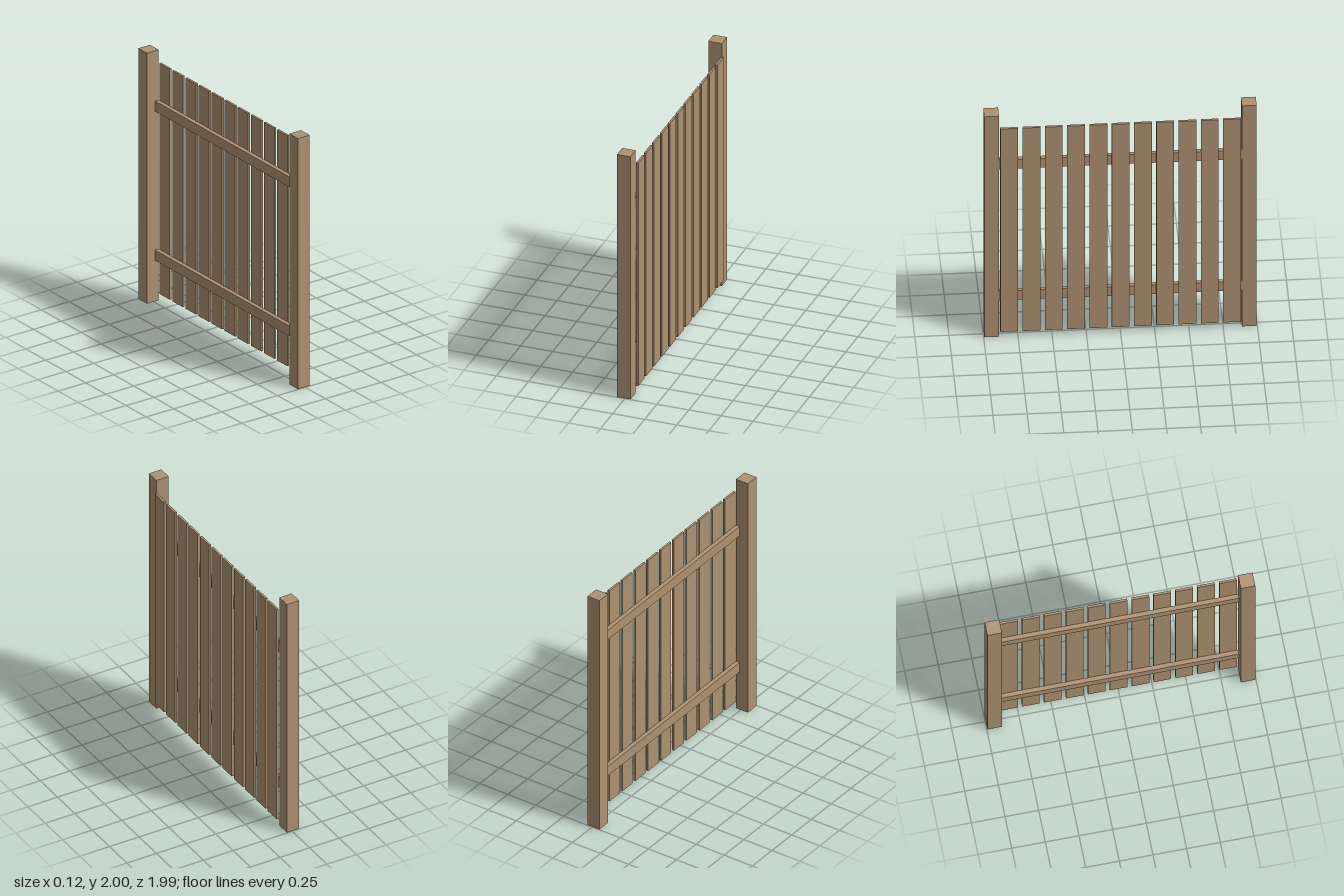
import * as THREE from 'three';

export function createModel() {
  const model = new THREE.Group();
  const wood = new THREE.MeshStandardMaterial({ color: 0xae9272 });
  wood.name = 'wood';

  // Box given by its min and max on each axis
  const box = (name, [x0, x1], [y0, y1], [z0, z1]) => {
    const mesh = new THREE.Mesh(new THREE.BoxGeometry(x1 - x0, y1 - y0, z1 - z0), wood);
    mesh.position.set((x0 + x1) / 2, (y0 + y1) / 2, (z0 + z1) / 2);
    mesh.name = name;
    model.add(mesh);
  };

  const postBack = -0.062, postFace = 0.043, plankFace = 0.06;
  const postInner = 0.887, postOuter = 0.995;

  // End posts
  box('frontPost', [postBack, postFace], [0, 2], [postInner, postOuter]);
  box('backPost', [postBack, postFace], [0, 2], [-postOuter, -postInner]);

  // Horizontal rails between the posts, flush with their plank side
  box('lowerRail', [0.01, postFace], [0.328, 0.41], [-postInner, postInner]);
  box('upperRail', [0.01, postFace], [1.518, 1.6], [-postInner, postInner]);

  // Evenly spaced vertical planks
  const count = 11, spacing = 0.1628, width = 0.13;
  for (let i = 0; i < count; i++) {
    const z = (i - (count - 1) / 2) * spacing;
    box(`plank${i + 1}`, [postFace, plankFace], [0.055, 1.895], [z - width / 2, z + width / 2]);
  }
  return model;
}
